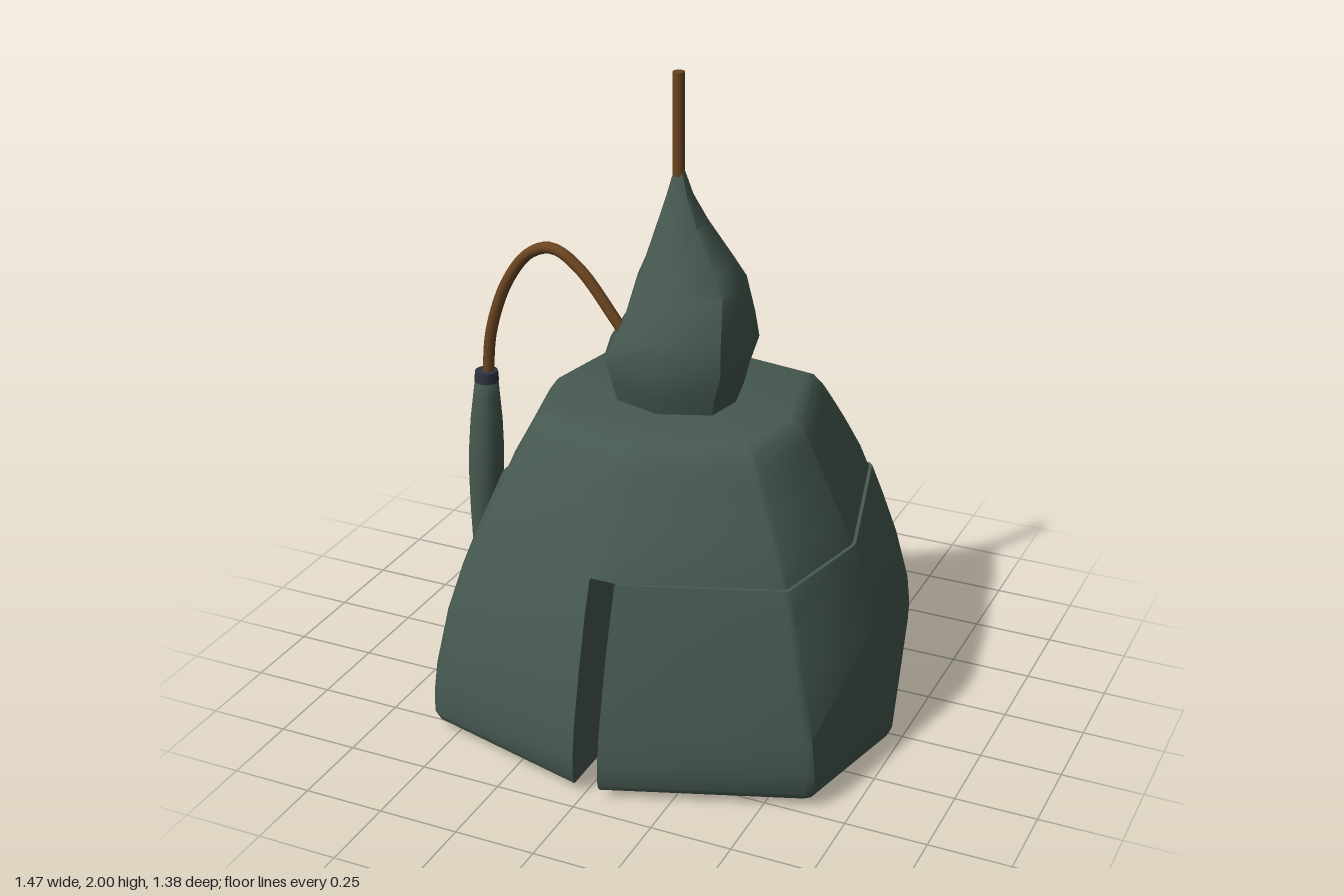
import * as THREE from 'three';
import { toCreasedNormals } from 'three/addons/utils/BufferGeometryUtils.js';

const green = new THREE.MeshStandardMaterial({ color: 0x465950 });
green.name = 'dull green';
const brown = new THREE.MeshStandardMaterial({ color: 0x6b4520 });
brown.name = 'copper brown';
const slate = new THREE.MeshStandardMaterial({ color: 0x2d3440 });
slate.name = 'dark slate';

// Skin closed rings of [x, y, z] points, bottom to top, with caps on both ends
function loft(rings, crease) {
  const pos = [];
  const tri = (a, b, c) => {
    const [p, q, r] = [a, b, c].map((v) => new THREE.Vector3(...v));
    if (q.sub(p).cross(r.sub(p)).length() > 1e-7) pos.push(...a, ...b, ...c);
  };
  for (let i = 0; i < rings.length - 1; i++) {
    const lo = rings[i], hi = rings[i + 1], n = lo.length;
    for (let j = 0; j < n; j++) {
      const k = (j + 1) % n;
      tri(lo[j], lo[k], hi[k]);
      tri(lo[j], hi[k], hi[j]);
    }
  }
  const cap = (ring, up) => {
    const flat = ring.map((p) => new THREE.Vector2(p[0], -p[2]));
    for (const [a, b, c] of THREE.ShapeUtils.triangulateShape(flat, [])) {
      if (up) tri(ring[a], ring[b], ring[c]);
      else tri(ring[a], ring[c], ring[b]);
    }
  };
  cap(rings[0], false);
  cap(rings[rings.length - 1], true);
  const geo = new THREE.BufferGeometry();
  geo.setAttribute('position', new THREE.Float32BufferAttribute(pos, 3));
  return toCreasedNormals(geo, crease);
}

// Irregular octagonal hull with a slot in the front
function hullGeometry() {
  const corners = [[0.635, 0.475], [0.73, 0.05], [0.557, -0.615], [0.1, -0.69], [-0.03, -0.695],
    [-0.635, -0.515], [-0.735, 0.03], [-0.585, 0.545]];
  const front = [0.01, 0.69];
  const loop = [front, ...corners, front];
  const outline = [];
  // Each corner is slightly bevelled
  corners.forEach((c, i) => {
    for (const n of [loop[i], loop[i + 2]]) {
      outline.push([c[0] + (n[0] - c[0]) * 0.025, c[1] + (n[1] - c[1]) * 0.025]);
    }
  });
  const ring = (y, s, slotted) => {
    const pts = outline.map(([x, z], j) => {
      const w = s * (1 + 0.006 * Math.sin(Math.floor(j / 2) * 2.3 + y * 11));
      return [x * w, y, z * w];
    });
    const zf = front[1] * s, zi = slotted ? 0.41 : zf;
    return [[0.05, y, zf], ...pts, [-0.03, y, zf], [-0.03, y, zi], [0.05, y, zi]];
  };
  const low = [[0.03, 0.985], [0.05, 1], [0.12, 1], [0.22, 0.98], [0.4, 0.92], [0.55, 0.86], [0.65, 0.81]];
  const high = [[0.65, 0.795], [0.73, 0.75], [0.83, 0.68], [0.92, 0.615], [0.96, 0.585], [0.995, 0.55], [1.01, 0.51]];
  return loft([...low.map(([y, s]) => ring(y, s, true)),
    ...high.map(([y, s]) => ring(y, s, false))], 0.6);
}

// Softly faceted spire; each row is y, then reach to left, right, back and front
function spireGeometry() {
  const rows = [
    [0.99, -0.195, 0.17, -0.2, 0.15], [1.06, -0.21, 0.185, -0.215, 0.17],
    [1.15, -0.24, 0.215, -0.24, 0.19], [1.24, -0.185, 0.205, -0.21, 0.17],
    [1.37, -0.145, 0.19, -0.155, 0.115], [1.43, -0.12, 0.15, -0.135, 0.085],
    [1.55, -0.08, 0.07, -0.09, 0.035], [1.63, -0.055, 0.025, -0.065, 0],
    [1.7, -0.035, 0, -0.05, -0.02]];
  const oct = [[0.05, 1], [0.87, 0.67], [1, 0], [0.8, -0.87], [0, -1], [-0.82, -0.77], [-1, 0], [-0.76, 0.75]];
  return loft(rows.map(([y, l, r, b, f]) => oct.map(([u, v]) => [
    (l + r) / 2 + u * (r - l) / 2, y, (b + f) / 2 + v * (f - b) / 2])), 0.9);
}

export function createModel() {
  const model = new THREE.Group();
  const add = (name, geo, mat, x = 0, y = 0, z = 0) => {
    const mesh = new THREE.Mesh(geo, mat);
    mesh.name = name;
    mesh.position.set(x, y, z);
    model.add(mesh);
    return mesh;
  };

  add('hull', hullGeometry(), green);
  add('spire', spireGeometry(), green);
  add('topRod', new THREE.CylinderGeometry(0.018, 0.018, 0.32, 12), brown, -0.018, 1.84, -0.035);

  // Rounded strip standing at the back of the slot
  const strip = new THREE.CylinderGeometry(0.0395, 0.0395, 0.6, 16).scale(1, 1, 0.3);
  add('slotStrip', strip, slate, 0.01, 0.3, 0.413);

  // Swollen side pipe, leaning outward at the foot
  const profile = [[0, 0.22], [0.025, 0.25], [0.04, 0.34], [0.05, 0.5], [0.055, 0.62],
    [0.055, 0.72], [0.05, 0.82], [0.042, 0.9], [0.035, 0.97], [0, 0.97]];
  const pipe = new THREE.LatheGeometry(profile.map(([r, y]) => new THREE.Vector2(r, y - 0.97)), 12);
  add('sidePipe', pipe, green, -0.645, 0.97, 0.03).rotation.z = -0.04;
  add('pipeCollar', new THREE.CylinderGeometry(0.036, 0.038, 0.035, 12), slate, -0.645, 0.967, 0.03);

  // Hose arching from the side pipe into the spire
  const path = new THREE.CatmullRomCurve3([[-0.643, 0.96, 0.025], [-0.625, 1.12, 0.025],
    [-0.565, 1.29, 0.025], [-0.48, 1.4, 0.03], [-0.4, 1.428, 0.035],
    [-0.31, 1.38, 0.04], [-0.17, 1.21, 0.042]].map((p) => new THREE.Vector3(...p)));
  add('hose', new THREE.TubeGeometry(path, 40, 0.018, 10), brown);

  return model;
}
